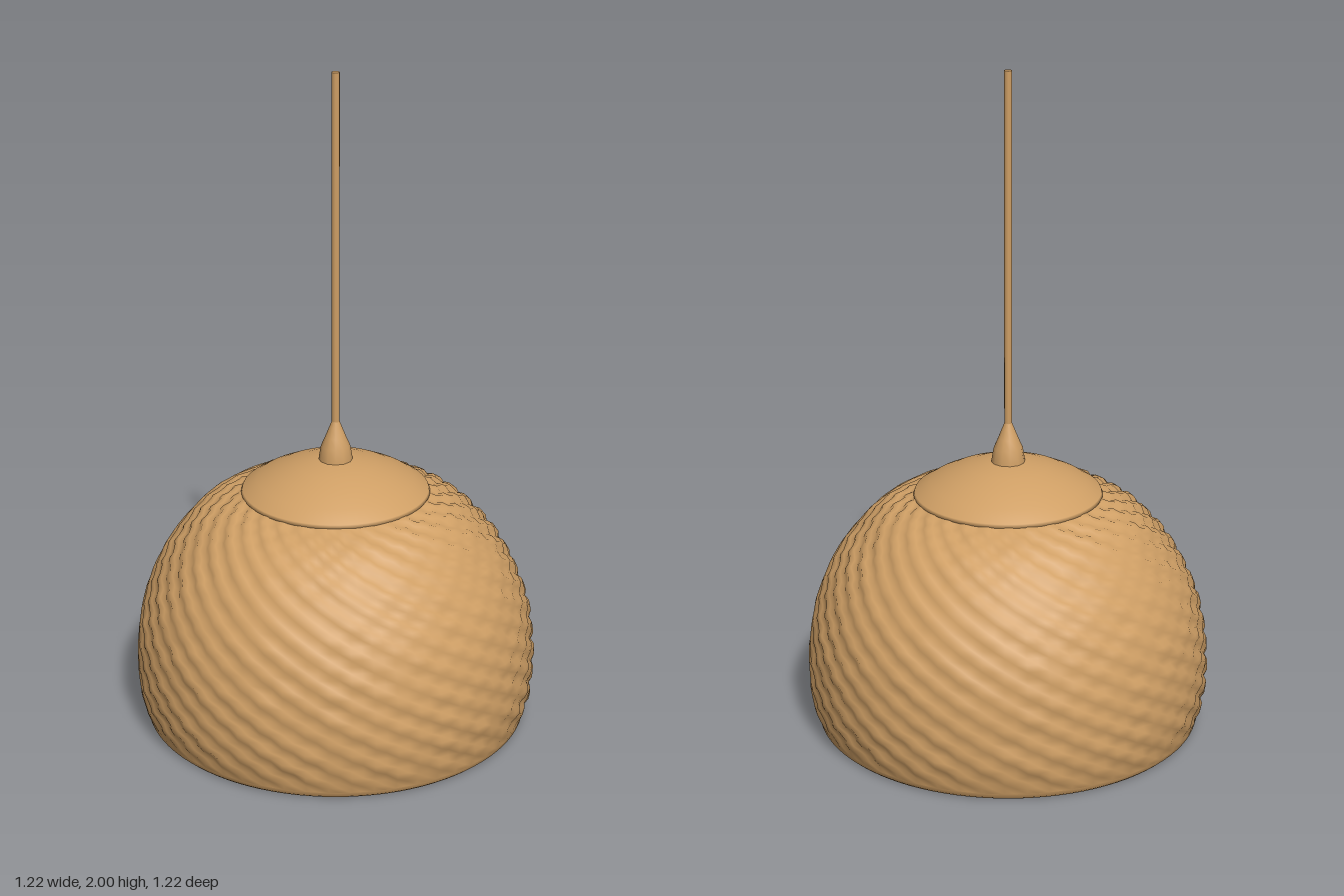
import * as THREE from 'three';
import { mergeVertices } from 'three/addons/utils/BufferGeometryUtils.js';

const wicker = new THREE.MeshStandardMaterial({ color: 0xcf9f65 });
wicker.name = 'wicker tan';

const vec = ([x, y]) => new THREE.Vector2(x, y);

function addMesh(group, name, geometry) {
  const mesh = new THREE.Mesh(geometry, wicker);
  mesh.name = name;
  group.add(mesh);
  return mesh;
}

function lathe(points, segments) {
  return new THREE.LatheGeometry(points.map(vec), segments);
}

// Small seeded generator for uneven hand-woven strands
function makeRandom(seed) {
  return () => (seed = (seed * 16807) % 2147483647) / 2147483647;
}

// One woven skin: a turned profile whose cells step in and out like a basket
function wovenSkin(profile, rows, inward) {
  const segments = 112;
  const points = new THREE.SplineCurve(profile.map(vec)).getSpacedPoints(rows);
  if (inward) points.reverse();
  const geometry = new THREE.LatheGeometry(points, segments);
  const random = makeRandom(41);
  const cells = Array.from({ length: 56 * 32 }, () => 0.4 + 0.6 * random());
  const pos = geometry.attributes.position;
  for (let k = 0; k < pos.count; k++) {
    const row = k % (rows + 1);
    const column = Math.floor(k / (rows + 1)) % segments;
    const a = Math.floor(column / 2), b = Math.floor(row / 2);
    const edge = Math.min(1, row / 2, (rows - row) / 2);
    const step = ((a + b) % 2 ? 0.006 : -0.006) * cells[a * 32 + b] * edge;
    const x = pos.getX(k), y = pos.getY(k), z = pos.getZ(k);
    const length = Math.hypot(x, y - 0.15, z);
    const s = 1 + step / length;
    pos.setXYZ(k, x * s, 0.15 + (y - 0.15) * s, z * s);
  }
  // Weld the seam before smoothing
  geometry.deleteAttribute('uv');
  geometry.deleteAttribute('normal');
  const welded = mergeVertices(geometry, 1e-5);
  welded.computeVertexNormals();
  return welded;
}

export function createModel() {
  const lamp = new THREE.Group();
  lamp.name = 'pendantLamp';

  // Woven shade, outside and inside
  const shade = new THREE.Group();
  shade.name = 'shade';
  lamp.add(shade);
  const outer = [
    [0.584, 0.02], [0.598, 0.08], [0.606, 0.17], [0.598, 0.29], [0.572, 0.4],
    [0.527, 0.5], [0.46, 0.595], [0.375, 0.675], [0.27, 0.725],
  ];
  const inner = [
    [0.546, 0.02], [0.56, 0.08], [0.567, 0.17], [0.56, 0.28], [0.535, 0.38],
    [0.49, 0.475], [0.425, 0.565], [0.34, 0.64], [0.24, 0.69],
  ];
  addMesh(shade, 'shadeOutside', wovenSkin(outer, 44, false));
  addMesh(shade, 'shadeInside', wovenSkin(inner, 40, true));

  // Rounded lower rim joining both skins
  addMesh(shade, 'rim', lathe([
    [0.546, 0.022], [0.55, 0.007], [0.56, 0], [0.572, 0], [0.581, 0.008], [0.584, 0.022],
  ], 96));

  // Smooth domed cap and its underside
  addMesh(lamp, 'cap', lathe([
    [0.27, 0.71], [0.284, 0.72], [0.28, 0.73], [0.235, 0.759], [0.18, 0.786],
    [0.12, 0.808], [0.06, 0.821], [0, 0.825],
  ], 64));
  addMesh(lamp, 'capUnderside', lathe([
    [0, 0.765], [0.1, 0.753], [0.18, 0.724], [0.245, 0.688],
  ], 64));

  // Tapered cord grip and cord
  addMesh(lamp, 'cordGrip', lathe([
    [0.052, 0.805], [0.05, 0.83], [0.044, 0.865], [0.031, 0.895], [0.019, 0.925], [0.011, 0.945],
  ], 12));
  const cord = addMesh(lamp, 'cord', new THREE.CylinderGeometry(0.012, 0.012, 1.08, 10));
  cord.position.y = 1.46;

  // Globe bulb in its socket
  const bulb = addMesh(lamp, 'bulb', new THREE.SphereGeometry(0.2, 40, 28));
  bulb.position.y = 0.34;
  const socket = addMesh(lamp, 'socket', new THREE.CylinderGeometry(0.06, 0.07, 0.26, 24));
  socket.position.y = 0.645;

  return lamp;
}
